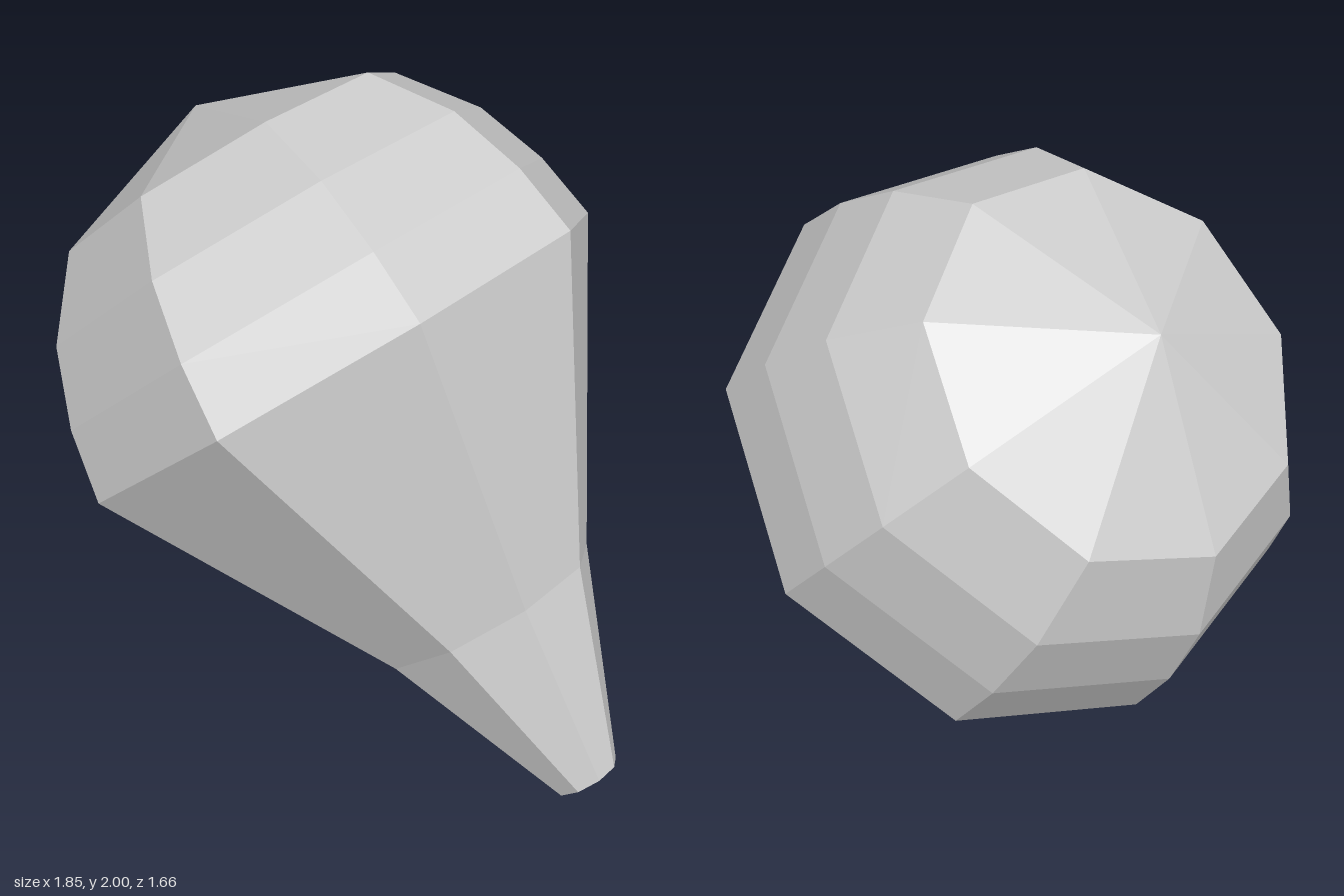
import * as THREE from 'three';

// Tilted nine-sided bulb: domed crown, tapering body and an open neck
export function createModel() {
  const group = new THREE.Group();
  group.name = 'bulb';

  // [radius, distance along the axis], from the open tip to the crown
  const profile = [
    [0.105, -0.572], // open tip
    [0.355, 0.037],  // neck
    [0.861, 0.9],    // widest ring
    [0.822, 1.112],
    [0.736, 1.334],
    [0.563, 1.551],
    [0, 1.757],      // crown point
  ].map(([r, y]) => new THREE.Vector2(r, y));

  const body = new THREE.Mesh(
    new THREE.LatheGeometry(profile, 9),
    new THREE.MeshStandardMaterial({ color: 0xcccccc, flatShading: true, side: THREE.DoubleSide })
  );
  body.name = 'bulbBody';

  // Lean the axis back to the right, with one ridge turned towards the left side
  const axis = new THREE.Vector3(-0.63, 0.735, -0.255).normalize();
  const ridge = new THREE.Vector3(0.758, 0.653, -0.012);
  const side = new THREE.Vector3().crossVectors(axis, ridge).normalize();
  ridge.crossVectors(side, axis);
  body.quaternion.setFromRotationMatrix(new THREE.Matrix4().makeBasis(side, axis, ridge));
  body.position.set(0.487, 0.497, 0.248);

  group.add(body);
  return group;
}
